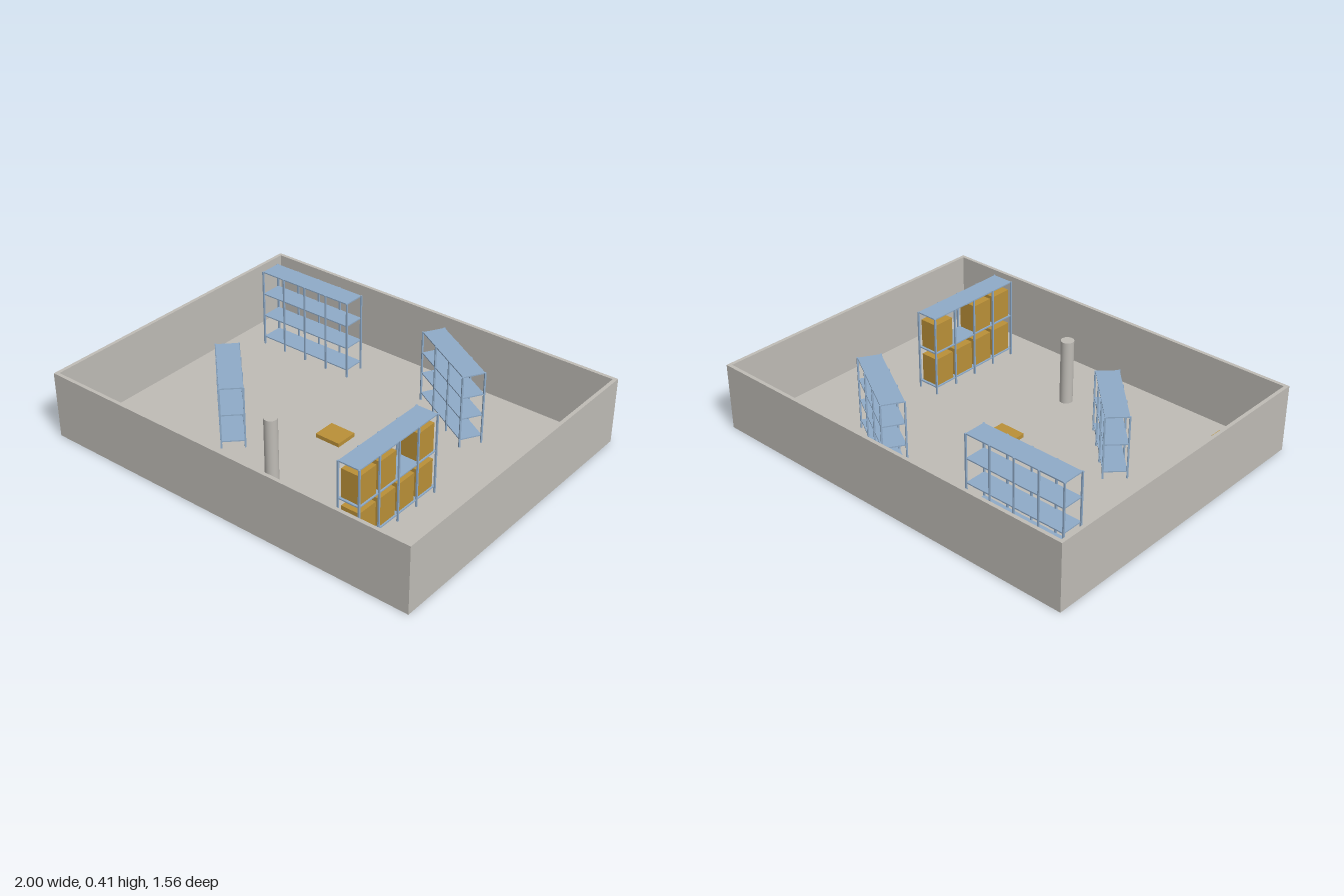
import * as THREE from 'three';

const mat = (name, color) => {
  const m = new THREE.MeshStandardMaterial({ color });
  m.name = name;
  return m;
};

export function createModel() {
  const concrete = mat('concrete grey', 0xbfbcb6);
  const steel = mat('rack blue', 0x8fabc8);
  const carton = mat('carton ochre', 0xba9038);
  const FLOOR = 0.007, WALL = 0.335, T = 0.018, HX = 1, HZ = 0.78;

  const model = new THREE.Group();
  model.name = 'warehouse';

  // Box placed by its base centre
  const box = (parent, name, material, w, h, d, x, y, z) => {
    const m = new THREE.Mesh(new THREE.BoxGeometry(w, h, d), material);
    m.name = name;
    m.position.set(x, y + h / 2, z);
    parent.add(m);
    return m;
  };

  // Floor slab
  box(model, 'floor', concrete, 2 * HX, FLOOR, 2 * HZ, 0, 0, 0);

  // Perimeter walls as one hollow ring
  const rect = (Type, x, z) => {
    const p = new Type();
    p.moveTo(-x, -z);
    p.lineTo(x, -z);
    p.lineTo(x, z);
    p.lineTo(-x, z);
    p.closePath();
    return p;
  };
  const ring = rect(THREE.Shape, HX, HZ);
  ring.holes.push(rect(THREE.Path, HX - T, HZ - T));
  const wallGeo = new THREE.ExtrudeGeometry(ring, { depth: WALL - FLOOR, bevelEnabled: false });
  wallGeo.rotateX(-Math.PI / 2);
  const walls = new THREE.Mesh(wallGeo, concrete);
  walls.name = 'walls';
  walls.position.y = FLOOR;
  model.add(walls);

  // Round column
  const column = new THREE.Mesh(new THREE.CylinderGeometry(0.032, 0.032, WALL - FLOOR, 24), concrete);
  column.name = 'column';
  column.position.set(0, (WALL + FLOOR) / 2, 0.44);
  model.add(column);

  // Rack: rows of post pairs joined by shelf boards
  const DEPTH = 0.11, POST = 0.008, BOARD = 0.006;
  const rack = (name, x, z, angle, length, bays, top, levels, lowest) => {
    const g = new THREE.Group();
    g.name = name;
    g.position.set(x, 0, z);
    g.rotation.y = angle;
    for (let i = 0; i <= bays; i++) {
      for (const s of [-1, 1]) {
        box(g, 'post', steel, POST, top - FLOOR, POST,
          -length / 2 + (i * length) / bays, FLOOR, (s * DEPTH) / 2);
      }
    }
    for (let k = 0; k < levels; k++) {
      const y = lowest + ((top - lowest) * k) / (levels - 1);
      box(g, 'shelf', steel, length, BOARD, DEPTH, 0, y - BOARD, 0);
    }
    model.add(g);
    return g;
  };
  rack('backRack', -0.557, -0.503, 0, 0.533, 4, 0.415, 4, 0.05);
  rack('angledBackRack', 0.332, -0.448, -Math.PI / 6, 0.435, 3, 0.38, 4, 0.05);
  rack('angledFrontRack', -0.446, 0.218, -Math.PI / 4, 0.4, 3, 0.325, 3, 0.045);
  const loaded = rack('loadedRack', 0.555, 0.332, Math.PI / 2, 0.533, 4, 0.415, 3, 0.045);

  // Cartons on the loaded rack, one upper bay left empty
  const bay = 0.533 / 4;
  for (const [y, bays] of [[0.045, [0, 1, 2, 3]], [0.23, [0, 1, 3]]]) {
    for (const b of bays) {
      box(loaded, 'carton', carton, 0.11, 0.143, 0.095, (1.5 - b) * -bay, y, 0);
    }
  }

  // Pallet in the middle and a small crate in the corner
  box(model, 'pallet', carton, 0.135, 0.02, 0.115, 0, FLOOR, 0);
  box(model, 'crate', carton, 0.065, 0.055, 0.065, -0.78, FLOOR, 0.61);

  return model;
}
